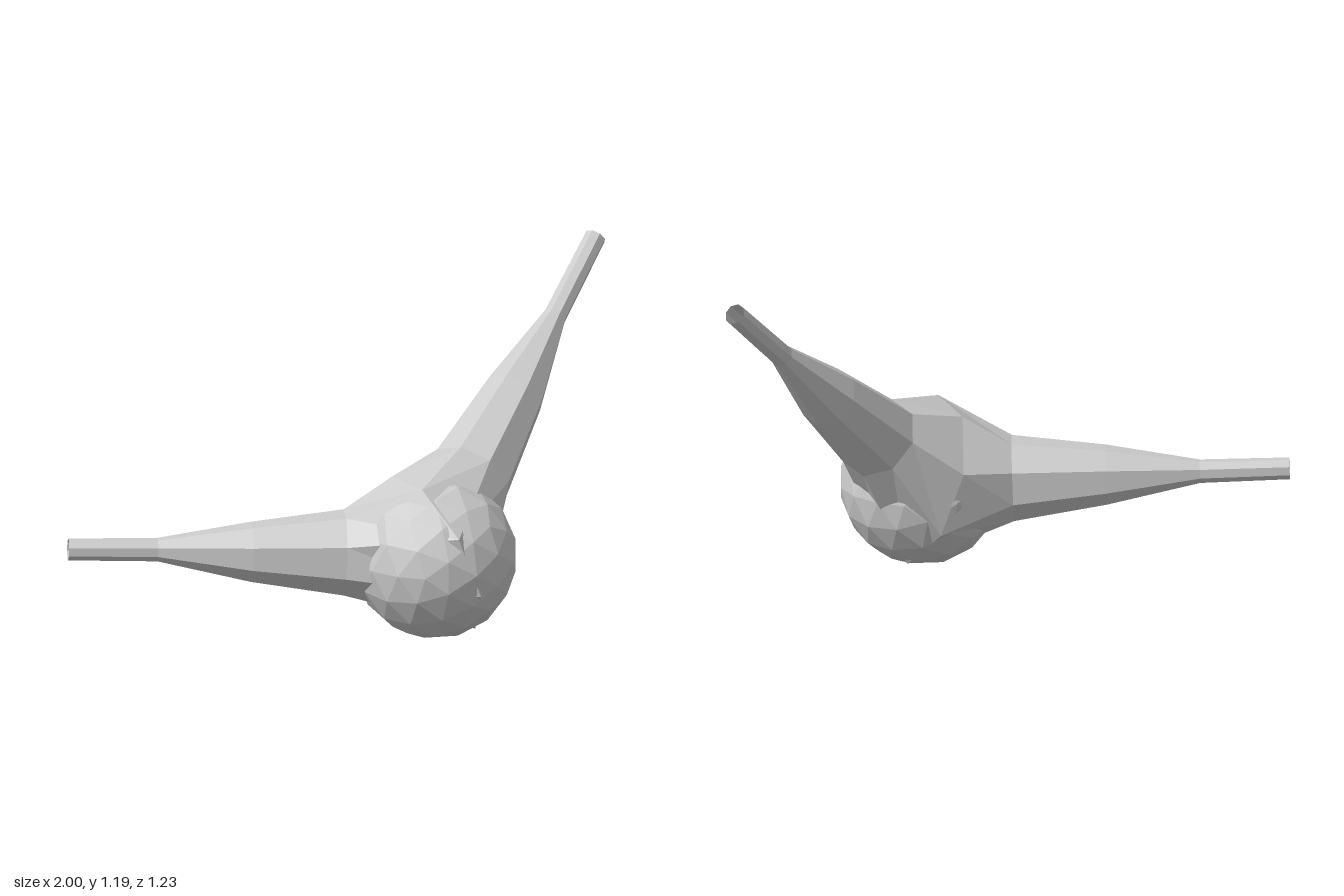
import * as THREE from 'three';

const V = (x, y, z) => new THREE.Vector3(x, y, z);

// Ring centres and radii along the bent neck, from one open end to the other
const rings = [
  [V(0.975, 1.168, 0.195), 0.038],
  [V(0.705, 0.95, 0.23), 0.041],
  [V(0.445, 0.735, 0.258), 0.108],
  [V(0.17, 0.52, 0.287), 0.148],
  [V(-0.1, 0.3, 0.33), 0.3],
  [V(-0.31, 0.308, 0.1), 0.15],
  [V(-0.535, 0.32, -0.13), 0.105],
  [V(-0.755, 0.335, -0.37), 0.041],
  [V(-0.972, 0.345, -0.592), 0.038],
];

// Eight-sided open tube; every ring shares the axis normal to the bend's plane
function bentTube(sides) {
  const mid = rings[4][0];
  const dirA = rings[0][0].clone().sub(mid).normalize();
  const dirB = rings[8][0].clone().sub(mid).normalize();
  const w = dirA.clone().cross(dirB).normalize();
  const pos = [], index = [];
  rings.forEach(([c, r], i) => {
    const tangent = i < 4 ? dirA.clone().negate() : i > 4 ? dirB.clone() : dirB.clone().sub(dirA).normalize();
    const u = tangent.clone().cross(w).normalize();
    for (let j = 0; j < sides; j++) {
      const a = ((j + 0.5) / sides) * Math.PI * 2;
      const p = c.clone().addScaledVector(u, r * Math.cos(a)).addScaledVector(w, r * Math.sin(a));
      pos.push(p.x, p.y, p.z);
      if (i < rings.length - 1) {
        const k = (j + 1) % sides;
        const a0 = i * sides + j, a1 = i * sides + k, b0 = a0 + sides, b1 = a1 + sides;
        // u x w = -tangent, so this order faces outwards
        index.push(a0, b0, a1, a1, b0, b1);
      }
    }
  });
  const g = new THREE.BufferGeometry();
  g.setAttribute('position', new THREE.Float32BufferAttribute(pos, 3));
  g.setIndex(index);
  const flat = g.toNonIndexed();
  flat.computeVertexNormals();
  return flat;
}

export function createModel() {
  const group = new THREE.Group();
  const material = new THREE.MeshStandardMaterial({ color: 0xcccccc, flatShading: true, side: THREE.DoubleSide });

  // Faceted ball at the bend
  const ball = new THREE.Mesh(new THREE.IcosahedronGeometry(0.286, 2), material);
  ball.name = 'ball';
  ball.position.set(-0.1, 0.288, 0.336);
  group.add(ball);

  // Two tapering arms running through the ball
  const arms = new THREE.Mesh(bentTube(8), material);
  arms.name = 'taperedArms';
  group.add(arms);

  return group;
}
